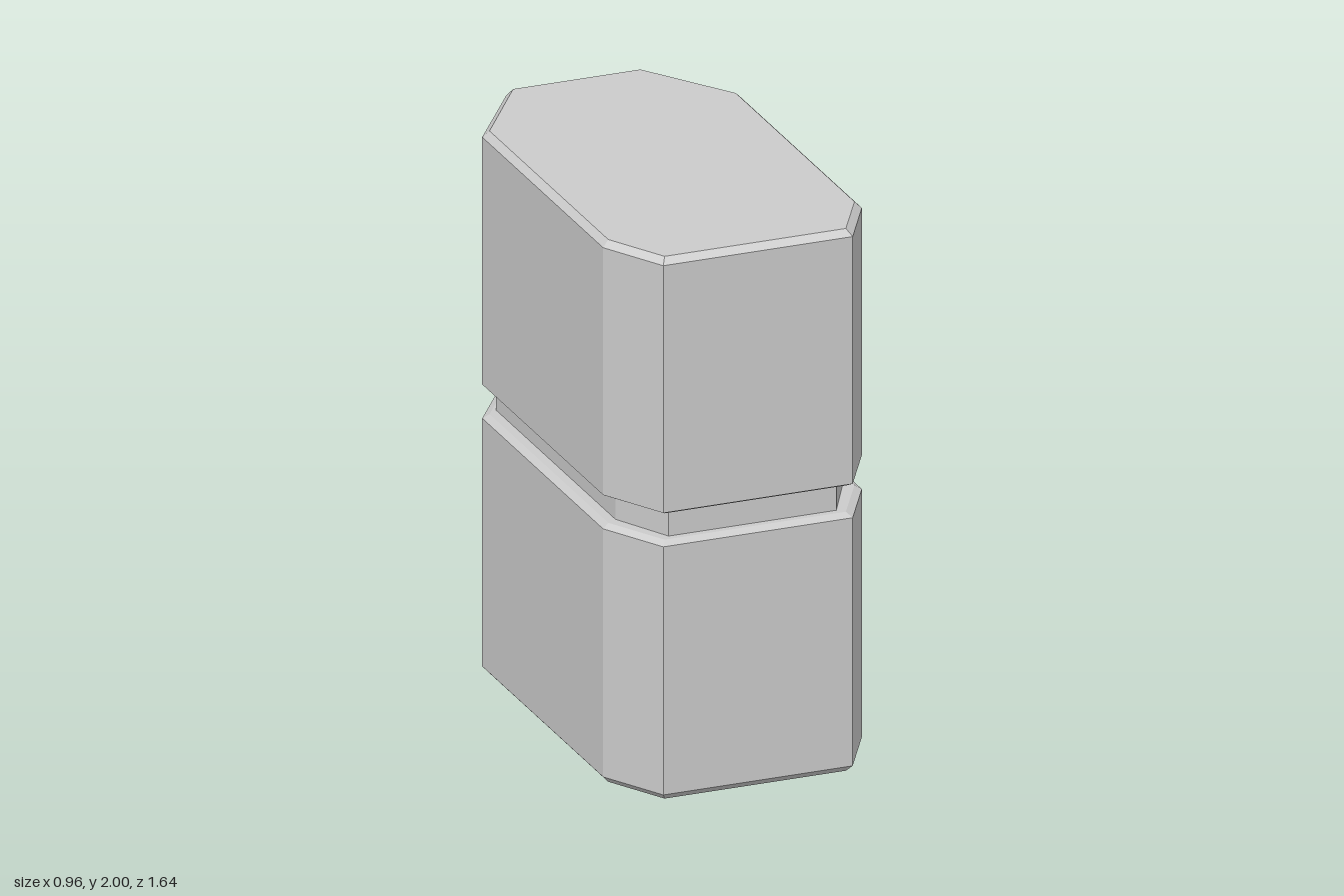
import * as THREE from 'three';

// Half footprints (x, z) on the +x side, from front to back
const OUTER = [[0.35, 0.82], [0.478, 0.59], [0.478, -0.5], [0.258, -0.82]];
const CHAMFER = [[0.335, 0.795], [0.455, 0.58], [0.455, -0.49], [0.235, -0.813]];
const BAND = [[0.31, 0.77], [0.42, 0.56], [0.42, -0.515], [0.232, -0.825]];

// Mirror a half footprint into a closed octagon at height y
function ring(half, y) {
  const right = half.map(([x, z]) => new THREE.Vector3(x, y, z));
  const left = half.map(([x, z]) => new THREE.Vector3(-x, y, z)).reverse();
  return [...right, ...left];
}

// Skin stacked rings from bottom to top and cap both ends
function loft(rings) {
  const points = [];
  const n = rings[0].length;
  for (let r = 0; r < rings.length - 1; r++) {
    const low = rings[r], high = rings[r + 1];
    for (let i = 0; i < n; i++) {
      const j = (i + 1) % n;
      points.push(low[i], low[j], high[j], low[i], high[j], high[i]);
    }
  }
  const bottom = rings[0], top = rings[rings.length - 1];
  for (let i = 1; i < n - 1; i++) {
    points.push(bottom[0], bottom[i + 1], bottom[i]);
    points.push(top[0], top[i], top[i + 1]);
  }
  const geometry = new THREE.BufferGeometry().setFromPoints(points);
  geometry.computeVertexNormals();
  return geometry;
}

export function createModel() {
  const group = new THREE.Group();
  const material = new THREE.MeshStandardMaterial({ color: 0xcccccc, flatShading: true });
  const add = (name, rings) => {
    const mesh = new THREE.Mesh(loft(rings), material);
    mesh.name = name;
    group.add(mesh);
  };

  // Two chamfered blocks with a narrow gap between them
  add('lowerBlock', [ring(CHAMFER, 0), ring(OUTER, 0.025), ring(OUTER, 0.94), ring(CHAMFER, 0.955)]);
  add('upperBlock', [ring(CHAMFER, 1.052), ring(OUTER, 1.065), ring(OUTER, 1.977), ring(CHAMFER, 2)]);

  // Recessed band filling the gap, slightly proud at the back
  add('middleBand', [ring(BAND, 0.955), ring(BAND, 1.052)]);
  return group;
}
